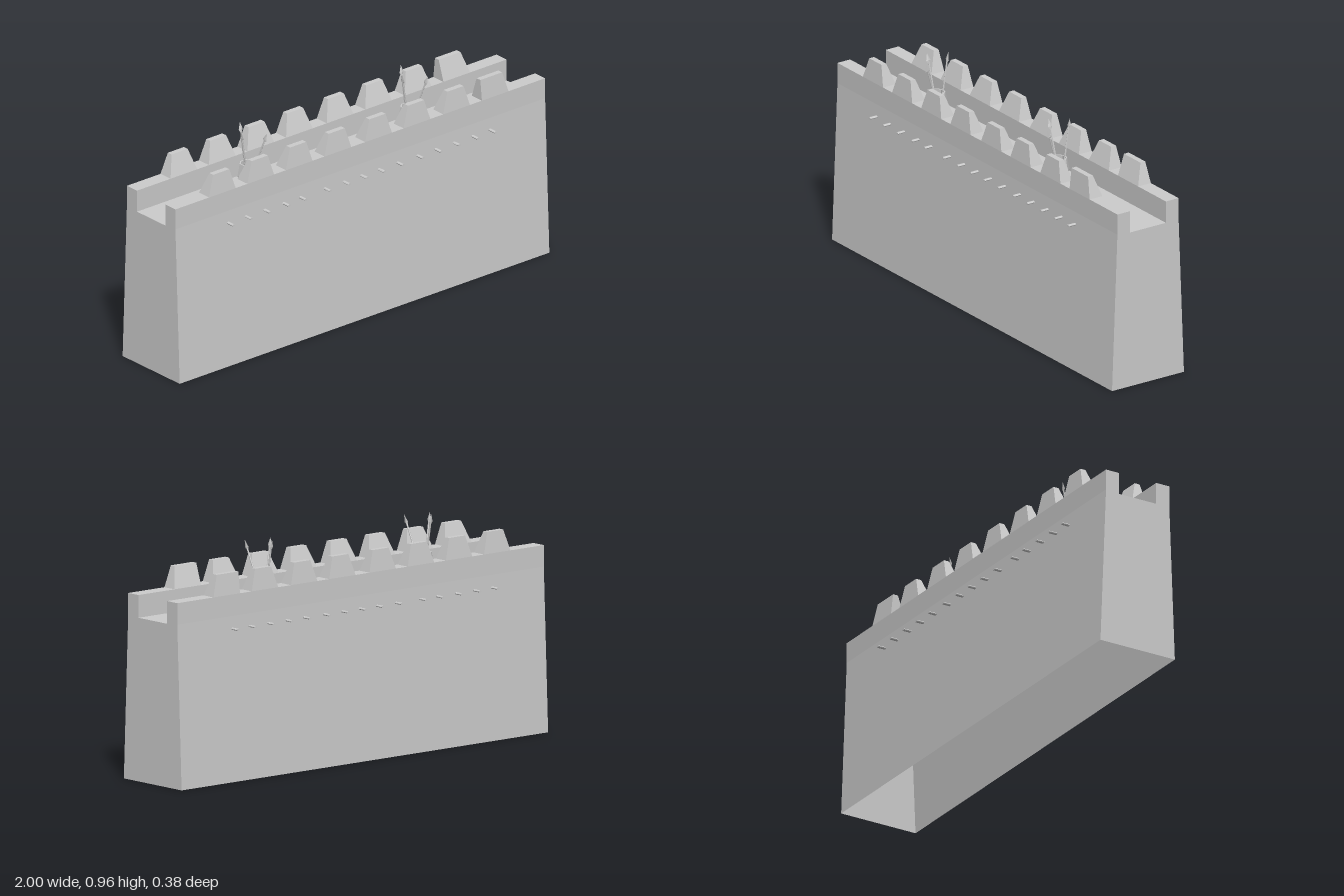
import * as THREE from 'three';

const stone = new THREE.MeshStandardMaterial({ color: 0xcccccc, flatShading: true, side: THREE.DoubleSide });

function add(parent, geometry, name) {
  const mesh = new THREE.Mesh(geometry, stone);
  mesh.name = name;
  parent.add(mesh);
  return mesh;
}

// Battered wall with a sunken walkway, open underneath
function wallGeometry() {
  const half = [[0.181, 0], [0.154, 0.69], [0.154, 0.78], [0.09, 0.78], [0.09, 0.685]];
  const mirrored = half.map(([z, y]) => [-z, y]).reverse();
  const shape = new THREE.Shape([...half, ...mirrored].map(([z, y]) => new THREE.Vector2(z, y)));
  const geo = new THREE.ExtrudeGeometry(shape, { depth: 2, bevelEnabled: false });
  geo.translate(0, 0, -1).rotateY(Math.PI / 2);
  // Drop the triangles that lie on the ground
  const p = geo.attributes.position;
  const kept = [];
  for (let i = 0; i < p.count; i += 3) {
    if (Math.max(p.getY(i), p.getY(i + 1), p.getY(i + 2)) < 0.001) continue;
    for (let k = i; k < i + 3; k++) kept.push(p.getX(k), p.getY(k), p.getZ(k));
  }
  const open = new THREE.BufferGeometry();
  open.setAttribute('position', new THREE.Float32BufferAttribute(kept, 3));
  open.computeVertexNormals();
  return open;
}

// Tapered battlement tooth; side is +1 at the front, -1 at the back
function merlonGeometry(side, leftSlope) {
  const geo = new THREE.BoxGeometry(1, 1, 1);
  const p = geo.attributes.position;
  for (let i = 0; i < p.count; i++) {
    const top = p.getY(i) > 0;
    const right = p.getX(i) > 0;
    const outer = p.getZ(i) * side > 0;
    const x = right ? 0.144 - (top ? 0.026 : 0) : (top ? leftSlope : 0);
    const z = outer ? (top ? 0.144 : 0.154) : (top ? 0.12 : 0.09);
    p.setXYZ(i, x, top ? 0.87 : 0.78, z * side);
  }
  geo.computeVertexNormals();
  return geo;
}

// Spear from a point in the barrel to its tip, with a flat leaf blade
function makeSpear(from, to, bladeTurn) {
  const spear = new THREE.Group();
  spear.name = 'spear';
  const a = new THREE.Vector3(...from);
  const dir = new THREE.Vector3(...to).sub(a);
  const length = dir.length();
  const shaft = new THREE.CylinderGeometry(0.0035, 0.0035, length - 0.03, 6);
  add(spear, shaft.translate(0, (length - 0.03) / 2, 0), 'spearShaft');
  const blade = new THREE.LatheGeometry([
    new THREE.Vector2(0.003, -0.045), new THREE.Vector2(0.011, -0.033), new THREE.Vector2(0, 0)], 4);
  blade.rotateY(bladeTurn).scale(1, 1, 0.25);
  const head = add(spear, blade, 'spearBlade');
  head.position.y = length;
  spear.position.copy(a);
  spear.quaternion.setFromUnitVectors(new THREE.Vector3(0, 1, 0), dir.normalize());
  return spear;
}

// Open eight-sided barrel holding three spears
function makeBarrel() {
  const barrel = new THREE.Group();
  barrel.name = 'spearBarrel';
  const profile = [[0, 0], [0.037, 0], [0.046, 0.053], [0.037, 0.105], [0.031, 0.105], [0.037, 0.053], [0.03, 0.01], [0, 0.01]];
  const body = new THREE.LatheGeometry(profile.map(([r, y]) => new THREE.Vector2(r, y)), 8);
  add(barrel, body.rotateY(Math.PI / 8), 'barrelBody');
  const spears = [
    [[0.008, 0.012, -0.004], [0.035, 0.255, 0.079], true],
    [[0.002, 0.012, -0.004], [-0.05, 0.265, 0.014], true],
    [[0.004, 0.012, -0.015], [0.003, 0.27, -0.056], false],
  ];
  for (const [from, to, sideways] of spears) {
    const spear = makeSpear(from, to, 0);
    if (sideways) spear.children[1].rotation.y = Math.PI / 2;
    barrel.add(spear);
  }
  return barrel;
}

export function createModel() {
  const model = new THREE.Group();
  model.name = 'castleWall';
  const wall = new THREE.Group();
  wall.name = 'wall';
  wall.position.z = 0.004;
  model.add(wall);
  add(wall, wallGeometry(), 'wallBody');

  const merlonStarts = [-0.818, -0.61, -0.402, -0.193, 0.027, 0.235, 0.449, 0.658];
  const pegX = [-0.717, -0.62, -0.52, -0.417, -0.326, -0.193, -0.09, 0.005, 0.1, 0.2, 0.308, 0.406, 0.505, 0.605, 0.7];
  const pegGeo = new THREE.CylinderGeometry(0.0075, 0.0075, 0.06, 8);
  pegGeo.rotateX(Math.PI / 2).scale(1, 0.65, 1);

  for (const side of [1, -1]) {
    // Battlements; the last tooth has an upright left end
    merlonStarts.forEach((x, i) => {
      const slope = i === merlonStarts.length - 1 ? 0 : 0.031;
      add(wall, merlonGeometry(side, slope), 'merlon').position.x = x;
    });
    // Row of beam ends poking out of the wall
    for (const x of pegX) add(wall, pegGeo, 'beamEnd').position.set(x, 0.637, side * 0.162);
  }

  // Spear barrels on the walkway
  for (const x of [-0.488, 0.382]) {
    const barrel = makeBarrel();
    barrel.position.set(x, 0.686, 0.019);
    model.add(barrel);
  }
  return model;
}
